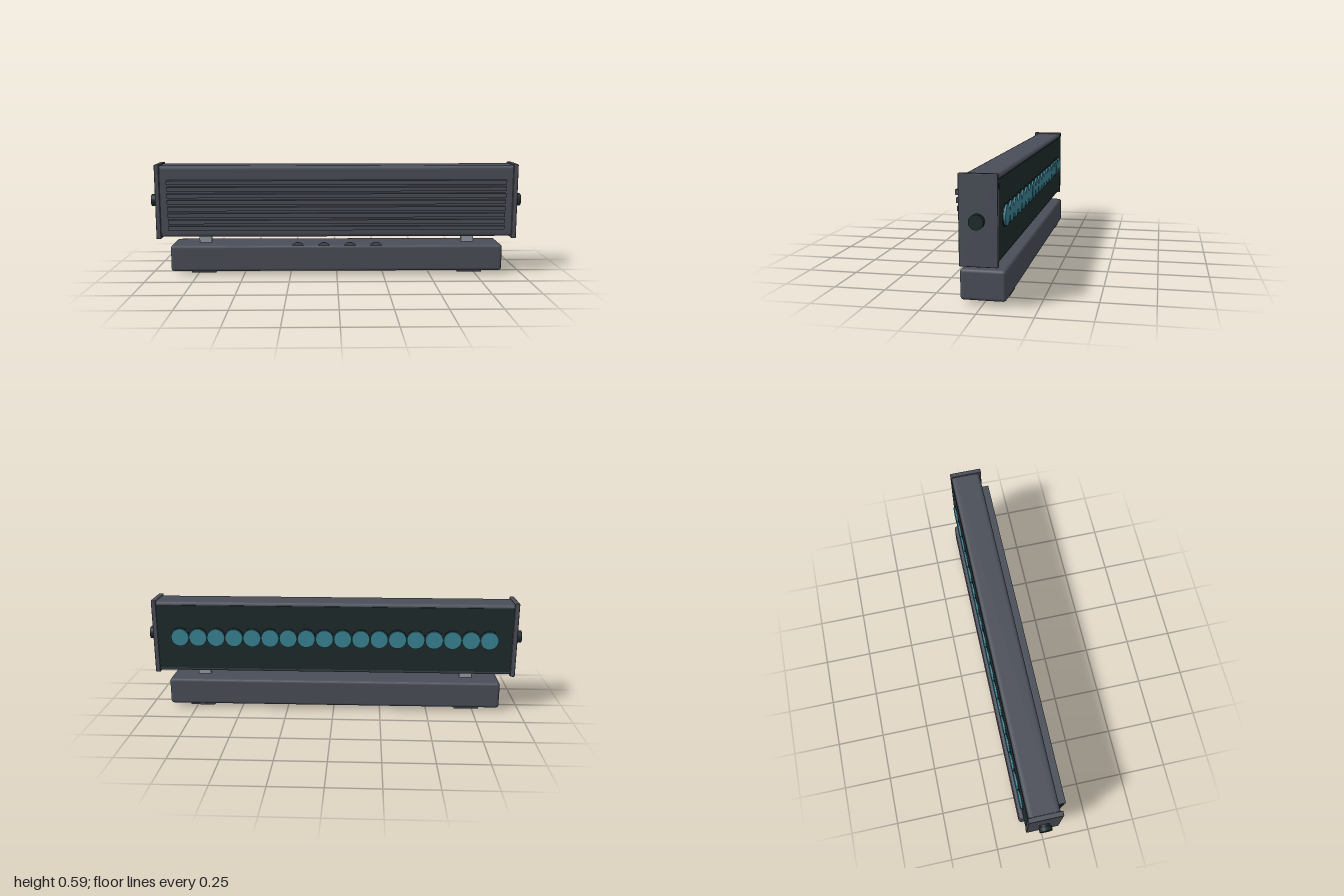
import * as THREE from 'three';
import { RoundedBoxGeometry } from 'three/addons/geometries/RoundedBoxGeometry.js';

const material = (name, color) => {
  const m = new THREE.MeshStandardMaterial({ color });
  m.name = name;
  return m;
};

export function createModel() {
  const model = new THREE.Group();
  model.name = 'lightBar';
  const casing = material('casing grey', 0x4a4e58);
  const dark = material('dark trim', 0x1f2b2c);
  const lensBlue = material('lens teal', 0x3a8596);
  const steel = material('steel', 0x969aa5);

  const add = (name, geometry, mat, x, y, z) => {
    const mesh = new THREE.Mesh(geometry, mat);
    mesh.name = name;
    mesh.position.set(x, y, z);
    model.add(mesh);
    return mesh;
  };
  // Box given by its limits, with optional rounded edges
  const box = (name, mat, [x0, x1], [y0, y1], [z0, z1], r = 0) => {
    const size = [x1 - x0, y1 - y0, z1 - z0];
    const geometry = r ? new RoundedBoxGeometry(...size, 3, r) : new THREE.BoxGeometry(...size);
    return add(name, geometry, mat, (x0 + x1) / 2, (y0 + y1) / 2, (z0 + z1) / 2);
  };
  // Disc with its axis along z or x
  const disc = (name, mat, r, length, x, y, z, axis = 'z') => {
    const geometry = new THREE.CylinderGeometry(r, r, length, 32);
    if (axis === 'z') geometry.rotateX(Math.PI / 2);
    else geometry.rotateZ(Math.PI / 2);
    return add(name, geometry, mat, x, y, z);
  };

  // Lamp housing: rounded profile extruded along x
  const y0 = 0.202, y1 = 0.586, z0 = -0.086, z1 = 0.07, r = 0.022;
  const profile = new THREE.Shape();
  profile.moveTo(z0 + r, y0);
  profile.lineTo(z1 - r, y0);
  profile.quadraticCurveTo(z1, y0, z1, y0 + r);
  profile.lineTo(z1, y1 - r);
  profile.quadraticCurveTo(z1, y1, z1 - r, y1);
  profile.lineTo(z0 + r, y1);
  profile.quadraticCurveTo(z0, y1, z0, y1 - r);
  profile.lineTo(z0, y0 + r);
  profile.quadraticCurveTo(z0, y0, z0 + r, y0);
  const housing = new THREE.ExtrudeGeometry(profile, { depth: 1.89, bevelEnabled: false, curveSegments: 5 });
  housing.translate(0, 0, -0.945);
  housing.rotateY(-Math.PI / 2);
  // The turn sends profile x to +z
  add('housing', housing, casing, 0, 0, 0);

  // Cooling fins, deeper towards the top
  for (let i = 0; i < 8; i++) {
    const y = 0.252 + i * 0.0355;
    box('coolingFin', casing, [-0.9, 0.9], [y - 0.011, y + 0.011], [0.06, 0.0855 + i * 0.0035]);
  }

  // Back panel with a row of lenses
  box('lensPanel', dark, [-0.94, 0.94], [0.22, 0.568], [-0.089, -0.08]);
  const count = 18;
  for (let i = 0; i < count; i++) {
    const x = -0.82 + (1.64 * i) / (count - 1);
    disc('lensRim', dark, 0.052, 0.012, x, 0.394, -0.087);
    disc('lens', lensBlue, 0.047, 0.015, x, 0.394, -0.0945);
  }

  // Base box
  box('base', casing, [-0.89, 0.89], [0.02, 0.162], [-0.108, 0.1], 0.016);

  for (const s of [-1, 1]) {
    // End plate and tilt knob
    const plate = box('endPlate', casing, [-0.0125, 0.0125], [0.194, 0.593], [-0.09, 0.08], 0.004);
    plate.position.x = s * 0.954;
    disc('knobShaft', dark, 0.026, 0.02, s * 0.973, 0.394, -0.004, 'x');
    disc('tiltKnob', dark, 0.033, 0.024, s * 0.988, 0.394, -0.004, 'x');

    // Mounting post through the base with its foot plate
    const x = s * 0.715;
    box('post', steel, [x - 0.033, x + 0.033], [0.01, 0.21], [-0.017, 0.009]);
    box('postTip', steel, [x - 0.035, x + 0.035], [0, 0.016], [-0.018, 0.009], 0.004);
    box('footPlate', casing, [x - 0.065, x + 0.065], [0.013, 0.024], [-0.1, 0.09]);
  }

  // Thumb wheels set into the top of the base
  for (const x of [-0.21, -0.07, 0.07, 0.21]) {
    disc('wheelHub', dark, 0.03, 0.018, x, 0.142, 0.077);
    disc('wheelRim', casing, 0.035, 0.009, x, 0.142, 0.0875);
  }

  return model;
}
